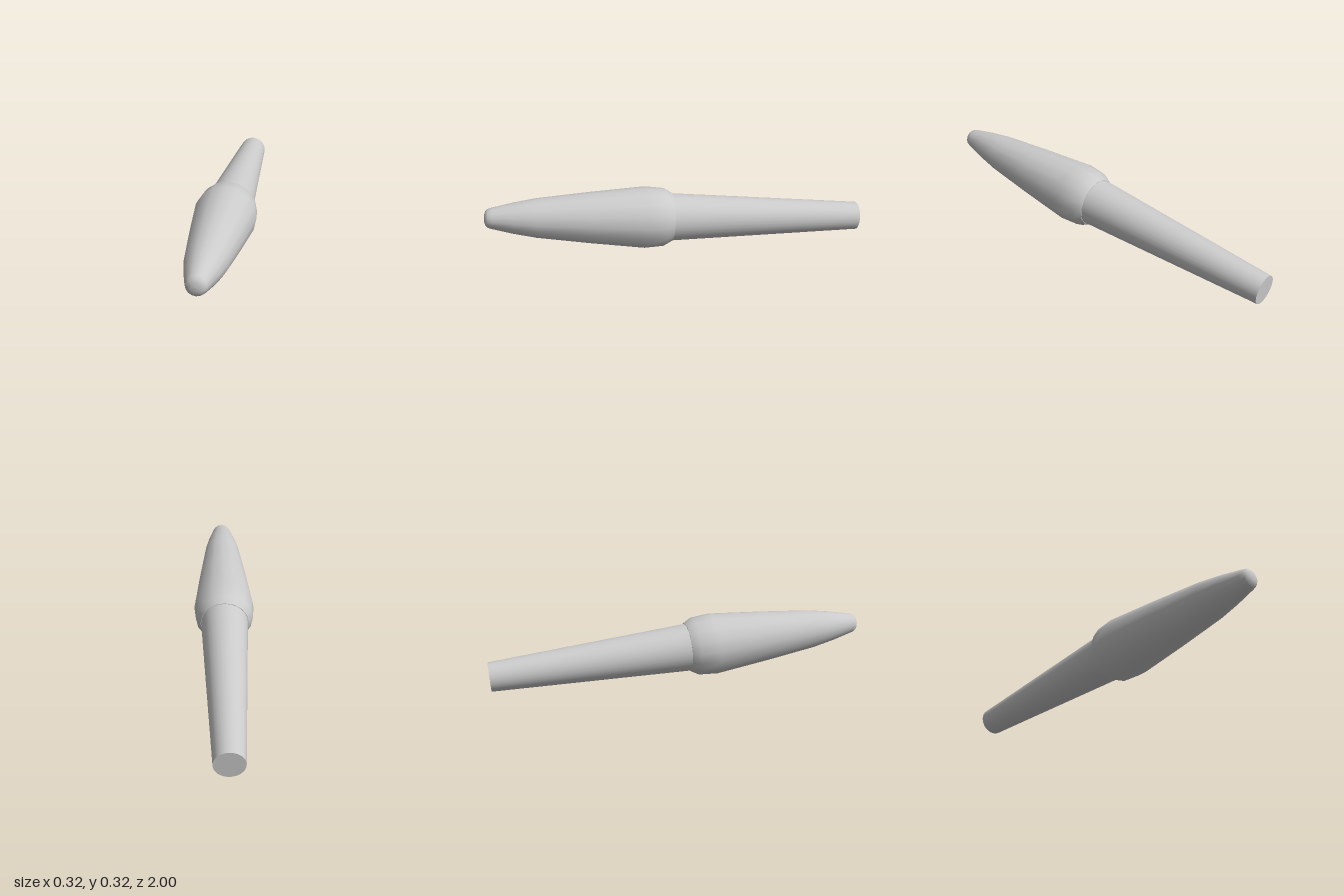
import * as THREE from 'three';

export function createModel() {
  const model = new THREE.Group();
  const material = new THREE.MeshStandardMaterial({ color: 0xcccccc });

  // Both parts share one axis, rising slightly towards the front
  const body = new THREE.Group();
  body.name = 'body';
  body.position.y = 0.1495;
  body.rotation.x = Math.PI / 2 - 0.0746;
  model.add(body);

  const add = (name, geometry) => {
    const mesh = new THREE.Mesh(geometry, material);
    mesh.name = name;
    body.add(mesh);
    return mesh;
  };

  // Tapered handle, flat at both ends
  const back = -0.997, front = 0.037;
  add('handle', new THREE.CylinderGeometry(0.125, 0.075, front - back, 32))
    .position.y = (front + back) / 2;

  // Bulbous head tapering to a rounded tip: [radius, distance along axis]
  const profile = [
    [0.129, 0.036], [0.153, 0.078], [0.162, 0.18], [0.133, 0.47],
    [0.102, 0.74], [0.08, 0.857], [0.055, 0.962], [0.049, 0.983],
    [0.037, 0.996], [0.019, 1.002], [0, 1.003],
  ].map(([r, t]) => new THREE.Vector2(r, t));
  add('head', new THREE.LatheGeometry(profile, 16));

  // Collar face closing the back of the head
  const collar = add('collar', new THREE.CircleGeometry(0.129, 16, Math.PI / 2));
  collar.rotation.x = Math.PI / 2;
  collar.position.y = 0.036;

  return model;
}
